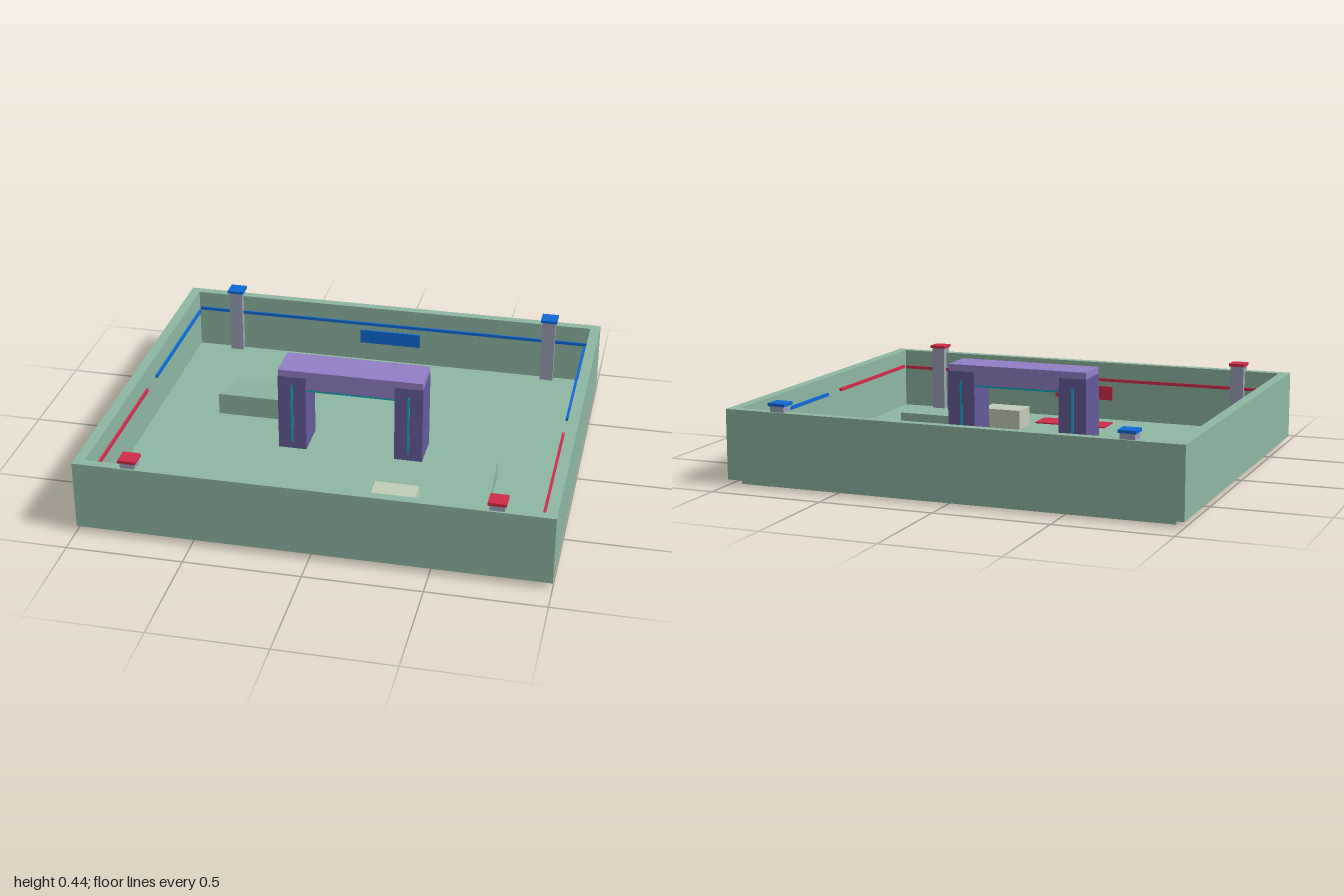
import * as THREE from 'three';

const mat = (name, color) => {
  const m = new THREE.MeshStandardMaterial({ color });
  m.name = name;
  return m;
};

export function createModel() {
  const green = mat('sage green', 0x8db6a3);
  const purple = mat('purple', 0x927ec5);
  const darkPurple = mat('dark purple', 0x645a98);
  const red = mat('red', 0xd02c49);
  const blue = mat('blue', 0x0f69d5);
  const beige = mat('beige', 0xc1cdb5);
  const grey = mat('grey', 0x9aa1b5);
  const teal = mat('teal', 0x12a8bc);

  const model = new THREE.Group();
  model.name = 'arena';

  // Box given by its minimum and maximum along each axis
  const box = (parent, name, material, [x0, x1], [y0, y1], [z0, z1]) => {
    const mesh = new THREE.Mesh(new THREE.BoxGeometry(x1 - x0, y1 - y0, z1 - z0), material);
    mesh.position.set((x0 + x1) / 2, (y0 + y1) / 2, (z0 + z1) / 2);
    mesh.name = name;
    parent.add(mesh);
    return mesh;
  };

  const floorY = 0.05, inX = 0.955, inZ = 0.828;

  // Floor slab
  box(model, 'floor', green, [-inX, inX], [0, floorY], [-inZ, inZ]);

  // Perimeter wall as one frame
  const rect = (target, x, z) => {
    target.moveTo(-x, -z);
    target.lineTo(x, -z);
    target.lineTo(x, z);
    target.lineTo(-x, z);
    target.closePath();
    return target;
  };
  const frame = rect(new THREE.Shape(), 1, 0.868);
  frame.holes.push(rect(new THREE.Path(), inX, inZ));
  const wallGeo = new THREE.ExtrudeGeometry(frame, { depth: 0.303, bevelEnabled: false });
  wallGeo.rotateX(-Math.PI / 2);
  const wall = new THREE.Mesh(wallGeo, green);
  wall.position.y = 0.024;
  wall.name = 'perimeterWall';
  model.add(wall);

  // Wedge profile, high end toward the arena centre
  const wedge = new THREE.Shape();
  wedge.moveTo(-0.152, 0);
  wedge.lineTo(-0.495, 0);
  wedge.lineTo(-0.152, 0.1);
  wedge.closePath();
  const wedgeGeo = new THREE.ExtrudeGeometry(wedge, { depth: 0.3, bevelEnabled: false });
  wedgeGeo.rotateY(Math.PI / 2);

  // Each team half is the other one turned by half a circle
  for (const [team, colour, angle] of [['red', red, 0], ['blue', blue, Math.PI]]) {
    const half = new THREE.Group();
    half.name = team + 'Half';
    half.rotation.y = angle;
    model.add(half);

    box(half, 'basePad', colour, [-0.175, 0.175], [floorY, floorY + 0.006], [0.61, 0.735]);
    box(half, 'wallPanel', colour, [-0.145, 0.145], [0.147, 0.213], [0.81, 0.82]);
    box(half, 'endWallStripe', colour, [-0.95, 0.95], [0.236, 0.25], [0.82, 0.828]);

    for (const s of [-1, 1]) {
      const x = s * 0.936, px = s * 0.763;
      box(half, 'sideWallStripe', colour, [x - 0.005, x + 0.005], [0.248, 0.262], [0.065, 0.765]);
      box(half, 'cornerPost', grey, [px - 0.031, px + 0.031], [floorY, 0.352], [0.797, 0.859]);
      box(half, 'postCap', colour, [px - 0.038, px + 0.038], [0.352, 0.365], [0.79, 0.866]);
    }

    box(half, 'coverBlock', beige, [0.187, 0.377], [floorY, 0.14], [0.435, 0.563]);

    const ramp = new THREE.Mesh(wedgeGeo, green);
    ramp.position.set(0.37, floorY, 0);
    ramp.name = 'ramp';
    half.add(ramp);
  }

  // Central gateway
  const gate = new THREE.Group();
  gate.name = 'gateway';
  model.add(gate);
  box(gate, 'gateBeam', purple, [-0.323, 0.323], [0.35, 0.437], [-0.085, 0.085]);
  for (const s of [-1, 1]) {
    const x = s * 0.262;
    box(gate, 'gateLeg', darkPurple, [x - 0.063, x + 0.063], [floorY, 0.407], [-0.087, 0.087]);
    for (const t of [-1, 1]) {
      const z = t * 0.088;
      box(gate, 'legLight', teal, [x - 0.005, x + 0.005], [0.085, 0.365], [z - 0.003, z + 0.003]);
    }
    const z = s * 0.08;
    box(gate, 'beamLight', teal, [-0.2, 0.2], [0.341, 0.35], [z - 0.004, z + 0.004]);
  }

  return model;
}
